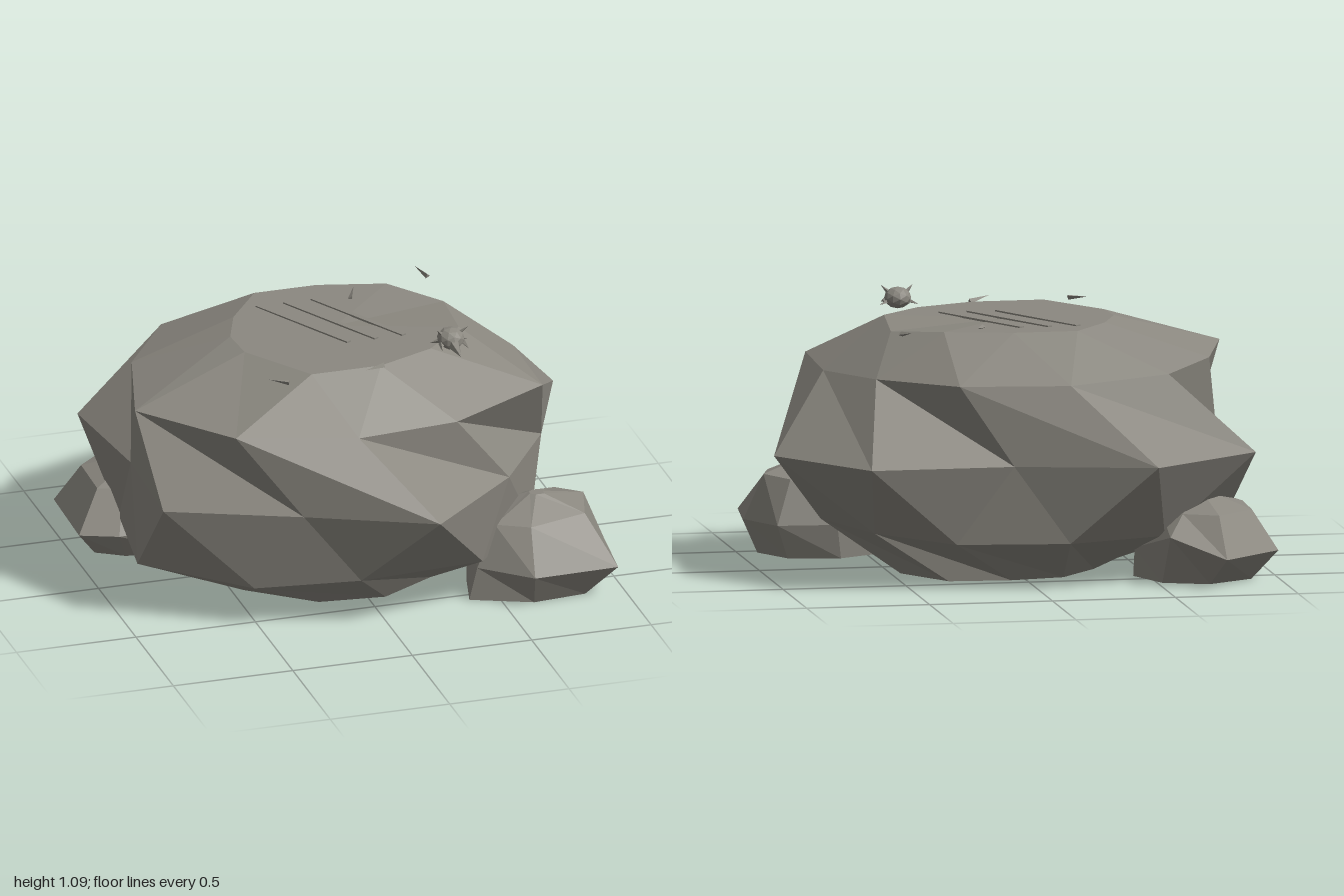
import * as THREE from 'three';

const stone = new THREE.MeshStandardMaterial({ color: 0x8b8880, flatShading: true });
stone.name = 'stone grey';

// Skins a stack of equal-sided rings of [x, y, z] corners and closes both ends.
function loft(rings) {
  const out = [];
  const n = rings[0].length;
  const pts = rings.map(r => r.map(p => new THREE.Vector3(...p)));
  const tri = (...v) => v.forEach(p => out.push(p.x, p.y, p.z));
  const middle = r => r.reduce((s, p) => s.add(p), new THREE.Vector3()).divideScalar(n);
  for (let k = 0; k < pts.length - 1; k++) {
    for (let i = 0; i < n; i++) {
      const j = (i + 1) % n;
      const a = pts[k][i], b = pts[k][j], c = pts[k + 1][j], d = pts[k + 1][i];
      tri(a, b, d);
      tri(b, c, d);
    }
  }
  const low = pts[0], high = pts[pts.length - 1];
  const lowMid = middle(low), highMid = middle(high);
  for (let i = 0; i < n; i++) {
    const j = (i + 1) % n;
    tri(lowMid, low[j], low[i]);
    tri(highMid, high[i], high[j]);
  }
  const g = new THREE.BufferGeometry();
  g.setAttribute('position', new THREE.Float32BufferAttribute(out, 3));
  g.computeVertexNormals();
  return g;
}

const level = (y, xz) => xz.map(([x, z]) => [x, y, z]);
const shrink = (y, xz, cx, cz, s) => xz.map(([x, z]) => [cx + (x - cx) * s, y, cz + (z - cz) * s]);

function add(group, name, geometry) {
  const m = new THREE.Mesh(geometry, stone);
  m.name = name;
  group.add(m);
  return m;
}

// Thin pointed spike running from one point to another.
function spike(group, name, from, to, radius, sides = 4) {
  const a = new THREE.Vector3(...from), b = new THREE.Vector3(...to);
  const dir = b.clone().sub(a);
  const m = add(group, name, new THREE.ConeGeometry(radius, dir.length(), sides));
  m.position.copy(a).add(b).multiplyScalar(0.5);
  m.quaternion.setFromUnitVectors(new THREE.Vector3(0, 1, 0), dir.normalize());
}

export function createModel() {
  const model = new THREE.Group();
  model.name = 'rockFormation';

  // Main rock: five eleven-sided rings, alternately turned by half a side
  const foot = [[0.07, 0.42], [0.3, 0.29], [0.44, 0.1], [0.46, -0.18], [0.31, -0.42], [0.06, -0.44],
    [-0.16, -0.4], [-0.32, -0.21], [-0.42, -0.01], [-0.45, 0.19], [-0.2, 0.39]];
  const lower = [[-0.11, 0.2, 0.67], [0.42, 0.185, 0.6], [0.72, 0.19, 0.28], [0.76, 0.21, -0.05],
    [0.61, 0.2, -0.41], [0.33, 0.19, -0.7], [-0.12, 0.19, -0.76], [-0.53, 0.19, -0.62],
    [-0.83, 0.18, -0.27], [-0.9, 0.18, 0.2], [-0.52, 0.17, 0.55]];
  const waist = [[0.15, 0.9], [0.55, 0.54], [0.8, 0.17], [1.0, -0.31], [0.69, -0.77], [0.11, -0.77],
    [-0.45, -0.91], [-0.91, -0.57], [-0.85, -0.05], [-0.87, 0.45], [-0.35, 0.67]];
  const shoulder = [[-0.11, 0.81, 0.64], [0.32, 0.8, 0.58], [0.74, 0.82, 0.38], [0.75, 0.81, -0.05],
    [0.6, 0.82, -0.39], [0.32, 0.83, -0.71], [-0.12, 0.83, -0.77], [-0.55, 0.84, -0.6],
    [-0.78, 0.85, -0.26], [-0.91, 0.85, 0.2], [-0.6, 0.84, 0.56]];
  const crown = level(1.0, [[0.06, 0.39], [0.3, 0.29], [0.47, 0.12], [0.5, -0.18], [0.32, -0.37], [0.05, -0.44],
    [-0.21, -0.44], [-0.36, -0.24], [-0.43, -0.06], [-0.42, 0.1], [-0.23, 0.39]]);
  crown[3][1] = 0.98; // worn corner
  add(model, 'mainRock', loft([level(0, foot), lower, level(0.51, waist), shoulder, crown]));

  // Front boulder
  const frontFoot = [[0.62, 0.65], [0.84, 0.63], [0.92, 0.46], [0.83, 0.29], [0.62, 0.25], [0.43, 0.35], [0.38, 0.55]];
  const frontMid = [[0.6, 0.73], [0.95, 0.72], [0.98, 0.44], [0.88, 0.24], [0.64, 0.22], [0.44, 0.32], [0.41, 0.56]];
  const frontTop = [[0.62, 0.31, 0.61], [0.86, 0.32, 0.56], [0.91, 0.33, 0.38], [0.82, 0.32, 0.28],
    [0.63, 0.31, 0.28], [0.51, 0.32, 0.36], [0.49, 0.31, 0.54]];
  add(model, 'frontBoulder', loft([level(0, frontFoot), level(0.14, frontMid), frontTop,
    shrink(0.39, frontMid, 0.69, 0.45, 0.1)]));

  // Back boulder
  const backFoot = [[-0.8, -0.27], [-0.55, -0.25], [-0.44, -0.42], [-0.52, -0.62], [-0.7, -0.69],
    [-0.89, -0.58], [-0.91, -0.34]];
  const backMid = [[-0.85, -0.2], [-0.56, -0.22], [-0.44, -0.45], [-0.53, -0.74], [-0.74, -0.85],
    [-0.99, -0.63], [-1.0, -0.26]];
  const backWaist = level(0.12, backMid);
  backWaist[3][1] = 0.2; // raised corner
  add(model, 'backBoulder', loft([level(0, backFoot), backWaist,
    shrink(0.28, backMid, -0.72, -0.48, 0.64), shrink(0.34, backMid, -0.7, -0.46, 0.15)]));

  // Three long scratches across the flat top
  for (let i = -1; i <= 1; i++) {
    const s = add(model, 'scratch', new THREE.BoxGeometry(0.022, 0.008, 0.51));
    s.position.set(i * 0.115, 1.001, -0.09);
    s.rotation.y = 0.5;
  }

  // Stone slivers lying around the crown
  for (const [from, to] of [
    [[0.5, 1.0, -0.39], [0.47, 1.015, -0.47]],
    [[0.14, 1.0, -0.27], [0.18, 1.01, -0.36]],
    [[-0.34, 1.0, 0.44], [-0.41, 1.005, 0.4]],
    [[0.07, 1.0, 0.39], [-0.02, 1.015, 0.45]],
  ]) spike(model, 'sliver', from, to, 0.012, 3);

  // Small horned head resting on the edge
  const head = new THREE.Group();
  head.name = 'hornedHead';
  head.position.set(0.38, 1.04, 0.3);
  model.add(head);
  add(head, 'skull', new THREE.IcosahedronGeometry(0.055, 1)).scale.set(1, 0.8, 1.1);
  spike(head, 'snout', [0, -0.01, 0.03], [0, -0.025, 0.14], 0.03, 5);
  for (const s of [-1, 1]) {
    spike(head, 'horn', [s * 0.03, 0.015, 0], [s * 0.065, 0.05, 0.02], 0.012);
    spike(head, 'cheekSpike', [s * 0.045, -0.01, 0.02], [s * 0.055, -0.025, 0.07], 0.012);
    spike(head, 'sideSpike', [s * 0.04, -0.01, -0.01], [s * 0.08, -0.025, -0.03], 0.011);
  }
  return model;
}
